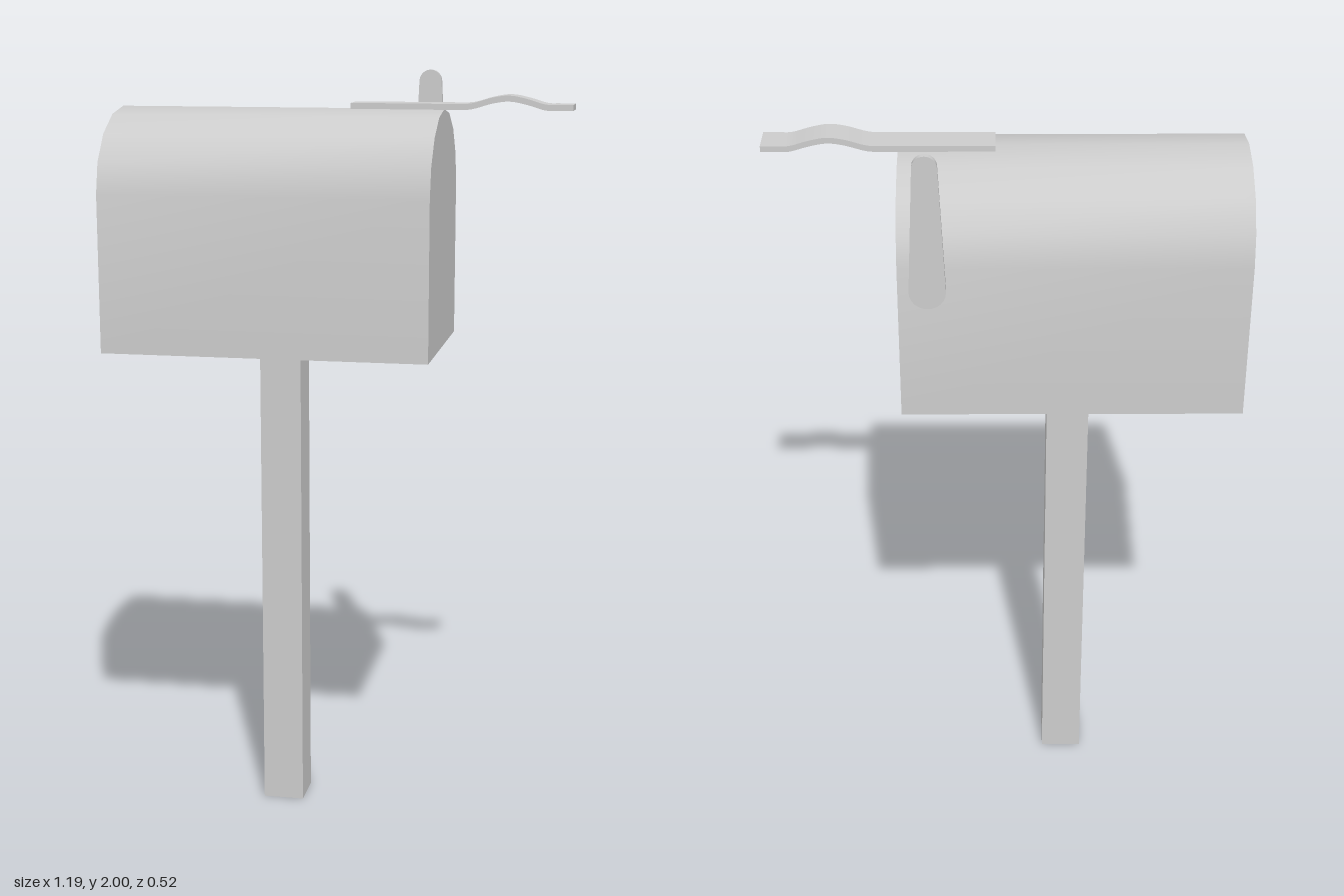
import * as THREE from 'three';
import { toCreasedNormals } from 'three/addons/utils/BufferGeometryUtils.js';

const material = new THREE.MeshStandardMaterial({ color: 0xcccccc });
const openMaterial = new THREE.MeshStandardMaterial({ color: 0xcccccc, side: THREE.DoubleSide });

// Extrudes an outline along z, smoothing gentle bends and keeping corners sharp
function extrude(points, depth) {
  const geometry = new THREE.ExtrudeGeometry(new THREE.Shape(points), { depth, bevelEnabled: false });
  return toCreasedNormals(geometry, 0.7);
}

function part(name, geometry, x, y, z, mat = material) {
  const mesh = new THREE.Mesh(geometry, mat);
  mesh.name = name;
  mesh.position.set(x, y, z);
  return mesh;
}

// Half or partial ellipse as a list of points
function arc(cx, cy, rx, ry, from, to, segments) {
  return Array.from({ length: segments + 1 }, (_, i) => {
    const a = from + (to - from) * i / segments;
    return new THREE.Vector2(cx + rx * Math.cos(a), cy + ry * Math.sin(a));
  });
}

export function createModel() {
  const model = new THREE.Group();
  model.name = 'mailbox';

  // Square hollow post, open at the foot
  const postHeight = 1.29;
  const post = new THREE.CylinderGeometry(0.055 * Math.SQRT2, 0.055 * Math.SQRT2, postHeight, 4, 1, true, Math.PI / 4);
  model.add(part('post', toCreasedNormals(post, 0.5), -0.165, postHeight / 2, 0.005, openMaterial));

  // Box with an arched roof running along x
  const profile = [
    new THREE.Vector2(-0.252, 0),
    new THREE.Vector2(0.252, 0),
    ...arc(0, 0.41, 0.252, 0.21, 0, Math.PI, 8),
  ];
  const box = extrude(profile, 0.857).rotateY(Math.PI / 2);
  model.add(part('box', box, -0.597, 1.29, 0.007));

  // Wavy strip lying on the roof and reaching past the end
  const wave = new THREE.SplineCurve([
    [0.022, 0], [0.16, 0], [0.29, 0], [0.335, 0.002], [0.385, 0.016], [0.43, 0.022],
    [0.475, 0.014], [0.52, 0.001], [0.55, 0], [0.592, 0],
  ].map(([x, y]) => new THREE.Vector2(x, y))).getPoints(36);
  const upper = wave.map((p) => new THREE.Vector2(p.x, p.y + 0.015)).reverse();
  model.add(part('strip', extrude([...wave, ...upper], 0.083), 0, 1.91, -0.036));

  // Tapered flag with rounded ends on the back wall
  const flag = [
    ...arc(0, 0.045, 0.045, 0.045, -Math.PI, 0, 12),
    ...arc(0, 0.37, 0.03, 0.03, 0, Math.PI, 12),
  ];
  model.add(part('flag', extrude(flag, 0.015), 0.187, 1.6, -0.26));

  return model;
}
